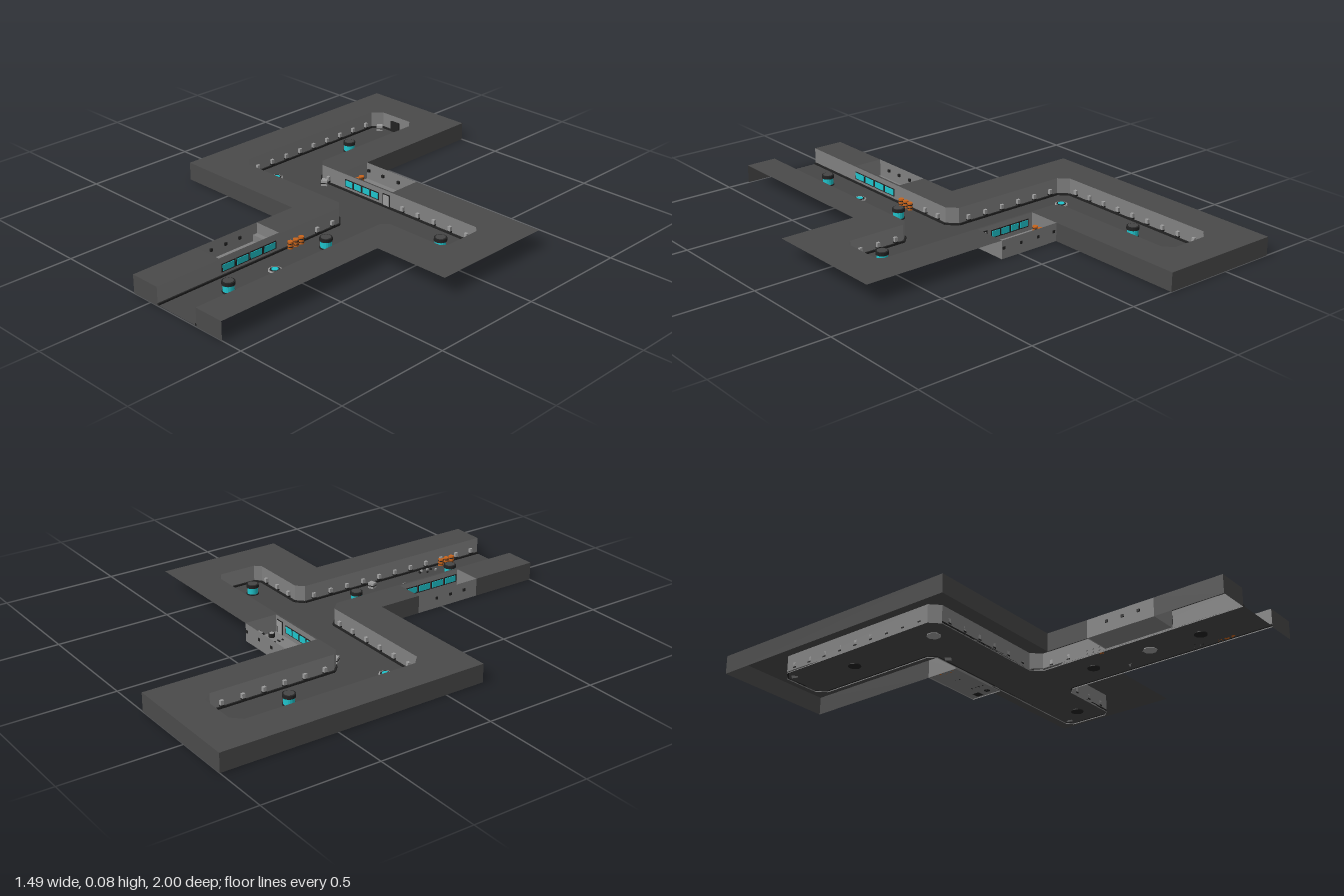
import * as THREE from 'three';

const H = 0.08, FLOOR = 0.004;

function mat(name, color) {
  const m = new THREE.MeshStandardMaterial({ color, side: THREE.DoubleSide, flatShading: true });
  m.name = name;
  return m;
}

export function createModel() {
  const root = new THREE.Group();
  root.name = 'corridorLevel';
  const roofMat = mat('dark grey roof', 0x4a4a4a);
  const floorMat = mat('floor grey', 0x464646);
  const wallMat = mat('light grey wall', 0x808080);
  const trimMat = mat('black trim', 0x222222);
  const glowMat = mat('cyan glow', 0x1fc4cc);
  const orangeMat = mat('orange barrel', 0xc8641c);
  const paleMat = mat('pale metal', 0x9c9c9c);

  const add = (name, geo, m, x = 0, y = 0, z = 0, ry = 0, parent = root) => {
    const mesh = new THREE.Mesh(geo, m);
    mesh.name = name;
    mesh.position.set(x, y, z);
    mesh.rotation.y = ry;
    parent.add(mesh);
    return mesh;
  };
  const box = (name, w, h, d, m, x, y, z, ry = 0, parent = root) =>
    add(name, new THREE.BoxGeometry(w, h, d), m, x, y + h / 2, z, ry, parent);
  // horizontal polygon given as [x, z] points
  const slab = (name, pts, m, y) => {
    const g = new THREE.ShapeGeometry(new THREE.Shape(pts.map(([x, z]) => new THREE.Vector2(x, -z))));
    g.rotateX(-Math.PI / 2);
    return add(name, g, m, 0, y, 0);
  };
  // upright band that follows an open path of [x, z] points
  const band = (name, pts, m, y0 = 0, y1 = H) => {
    const pos = [];
    for (let i = 0; i + 1 < pts.length; i++) {
      const [ax, az] = pts[i], [bx, bz] = pts[i + 1];
      pos.push(ax, y0, az, bx, y0, bz, bx, y1, bz, ax, y0, az, bx, y1, bz, ax, y1, az);
    }
    const g = new THREE.BufferGeometry();
    g.setAttribute('position', new THREE.Float32BufferAttribute(pos, 3));
    g.computeVertexNormals();
    return add(name, g, m);
  };

  // Corridor outline, open at the front end
  const corridor = [
    [0.26, 1], [0.26, 0.04], [0.29, 0.01], [0.55, 0.01], [0.575, -0.015], [0.575, -0.185], [0.55, -0.21],
    [-0.32, -0.21], [-0.35, -0.24], [-0.35, -0.8], [-0.385, -0.84], [-0.55, -0.84], [-0.59, -0.8],
    [-0.59, -0.03], [-0.55, 0.01], [0, 0.01], [0.04, 0.05], [0.04, 1],
  ];
  slab('corridorFloor', corridor, floorMat, FLOOR);
  band('corridorWalls', corridor, wallMat);

  // Roof surrounding the corridor and the two open rooms
  slab('roof', [
    [-0.745, -1], [-0.2, -1], [-0.2, -0.218], [0.09, -0.218], [0.09, -0.365], [0.745, -0.365], [0.745, 0.2],
    [0.4, 0.2], [0.4, 1], ...corridor, [-0.1, 1], [-0.1, 0.69], [0.03, 0.69], [0.03, 0.375], [-0.1, 0.375],
    [-0.1, 0.18], [-0.745, 0.18],
  ], roofMat, H);

  // Outer faces (the remaining sides are open)
  band('outerSides', [[-0.2, -0.365], [-0.2, -1], [-0.745, -1], [-0.745, 0.18], [-0.1, 0.18], [-0.1, 0.375]], roofMat);
  band('frontLeftEnd', [[0.26, 1], [0.4, 1]], roofMat);
  band('frontRightEnd', [[0.04, 1], [-0.1, 1], [-0.1, 0.69]], roofMat);

  // Side rooms
  const rooms = {
    backRoom: [[-0.2, -0.218], [-0.2, -0.365], [0.09, -0.365], [0.09, -0.218]],
    sideRoom: [[0.03, 0.375], [-0.1, 0.375], [-0.1, 0.69], [0.03, 0.69]],
  };
  for (const [name, pts] of Object.entries(rooms)) {
    slab(name + 'Floor', pts, wallMat, FLOOR);
    band(name + 'Walls', [...pts, pts[0]], wallMat);
  }

  // Dark skirting along the corridor walls
  for (let i = 0; i + 1 < corridor.length; i++) {
    const [ax, az] = corridor[i], [bx, bz] = corridor[i + 1];
    const dx = bx - ax, dz = bz - az, len = Math.hypot(dx, dz);
    // inward side of the wall
    const nx = dz / len, nz = -dx / len;
    box('skirting', len, 0.008, 0.007, trimMat, (ax + bx) / 2 + nx * 0.0035, FLOOR,
      (az + bz) / 2 + nz * 0.0035, Math.atan2(-dz, dx));
    // wall fittings at an even spacing on the long walls
    if (len < 0.2) continue;
    const n = Math.round(len / 0.09);
    for (let k = 0; k < n; k++) {
      const t = (k + 0.5) / n, x = ax + dx * t + nx * 0.006, z = az + dz * t + nz * 0.006;
      if (z < -0.2 && x > -0.2 && x < 0.1) continue;
      if (x < 0.06 && x > 0.03 && z > 0.2) continue;
      const ry = Math.atan2(-dz, dx);
      box('wallFitting', 0.014, 0.02, 0.012, paleMat, x, 0.02, z, ry);
      box('wallFittingBase', 0.016, 0.006, 0.014, trimMat, x, 0.015, z, ry);
    }
  }

  // Lit windows between the corridor and the rooms, on both wall faces
  for (let i = 0; i < 4; i++) {
    const x = -0.155 + i * 0.05, z = 0.435 + i * 0.072;
    box('backRoomWindowFrame', 0.05, 0.036, 0.009, trimMat, x, 0.022, -0.214);
    box('backRoomWindow', 0.04, 0.026, 0.014, glowMat, x, 0.027, -0.214);
    box('sideRoomWindowFrame', 0.011, 0.036, 0.07, trimMat, 0.035, 0.022, z);
    box('sideRoomWindow', 0.016, 0.026, 0.058, glowMat, 0.035, 0.027, z);
  }
  box('backRoomDoor', 0.032, 0.055, 0.014, paleMat, 0.062, FLOOR, -0.214);
  box('backRoomDoorFrame', 0.042, 0.06, 0.01, trimMat, 0.062, FLOOR, -0.214);

  // Studs on the outer room walls
  for (const x of [-0.185, -0.1, -0.01, 0.08]) box('wallStud', 0.012, 0.012, 0.012, trimMat, x, 0.04, -0.362);
  for (const z of [0.47, 0.545, 0.62]) box('wallStud', 0.012, 0.012, 0.012, trimMat, -0.098, 0.04, z);

  // Glowing tanks with dark caps
  for (const [x, z] of [[-0.47, -0.53], [0.47, -0.09], [0.147, 0.23], [0.147, 0.745]]) {
    const tank = new THREE.Group();
    tank.name = 'tank';
    tank.position.set(x, 0, z);
    root.add(tank);
    add('tankFoot', new THREE.CylinderGeometry(0.027, 0.027, 0.008, 16), trimMat, 0, 0.004, 0, 0, tank);
    add('tankBody', new THREE.CylinderGeometry(0.023, 0.023, 0.03, 16), glowMat, 0, 0.022, 0, 0, tank);
    add('tankCap', new THREE.CylinderGeometry(0.027, 0.027, 0.014, 16), trimMat, 0, 0.043, 0, 0, tank);
    add('tankLid', new THREE.CylinderGeometry(0.021, 0.021, 0.002, 16), floorMat, 0, 0.051, 0, 0, tank);
  }

  // Low floor pads with a glowing middle
  for (const [x, z] of [[-0.483, -0.09], [0.147, 0.507]]) {
    add('padRing', new THREE.CylinderGeometry(0.028, 0.03, 0.008, 8), paleMat, x, 0.005, z, Math.PI / 8);
    add('padInset', new THREE.CylinderGeometry(0.022, 0.022, 0.002, 8), trimMat, x, 0.0095, z, Math.PI / 8);
    add('padGlow', new THREE.CylinderGeometry(0.015, 0.015, 0.002, 8), glowMat, x, 0.0115, z, Math.PI / 8);
  }

  // Rows of orange barrels
  for (const [x, z0] of [[-0.185, -0.315], [0.052, 0.275], [0.246, 0.775]]) {
    for (let i = 0; i < 3; i++) {
      const z = z0 + i * 0.03;
      add('barrel', new THREE.CylinderGeometry(0.012, 0.012, 0.032, 10), orangeMat, x, 0.02, z);
      for (const y of [0.013, 0.027])
        add('barrelHoop', new THREE.CylinderGeometry(0.0128, 0.0128, 0.003, 10), trimMat, x, y, z);
    }
  }

  // Crates
  for (const [x, z, a] of [[-0.54, -0.805, 0.7], [-0.283, -0.187, 0.6], [0.535, -0.182, 0.2], [0.222, 0.37, 0.4]]) {
    box('crate', 0.027, 0.025, 0.027, paleMat, x, FLOOR, z, a);
    box('crateBand', 0.029, 0.004, 0.029, trimMat, x, 0.014, z, a);
  }

  // Back room furniture
  box('cabinetBase', 0.034, 0.03, 0.034, trimMat, 0.066, FLOOR, -0.318);
  box('cabinetTop', 0.027, 0.002, 0.027, wallMat, 0.066, 0.034, -0.318);
  add('stool', new THREE.CylinderGeometry(0.014, 0.014, 0.016, 8), trimMat, 0.057, 0.012, -0.262);
  add('stoolSeat', new THREE.CylinderGeometry(0.01, 0.01, 0.002, 8), paleMat, 0.057, 0.021, -0.262);
  for (const x of [-0.1, 0.005])
    for (let i = 0; i < 4; i++)
      box('consoleKey', 0.016 - (i % 2) * 0.008, 0.004, 0.005, trimMat, x, FLOOR, -0.3 + i * 0.019);

  // Side room cabinet, end hatch and small debris
  box('sideCabinet', 0.06, 0.03, 0.022, wallMat, -0.067, FLOOR, 0.388);
  box('endHatch', 0.05, 0.05, 0.008, trimMat, -0.47, FLOOR, -0.836);
  for (let i = 0; i < 6; i++)
    box('debris', 0.01, 0.008, 0.007, i % 2 ? paleMat : trimMat,
      0.227 + Math.sin(i * 2.3) * 0.014, FLOOR, 0.64 + i * 0.016, i);

  return root;
}
